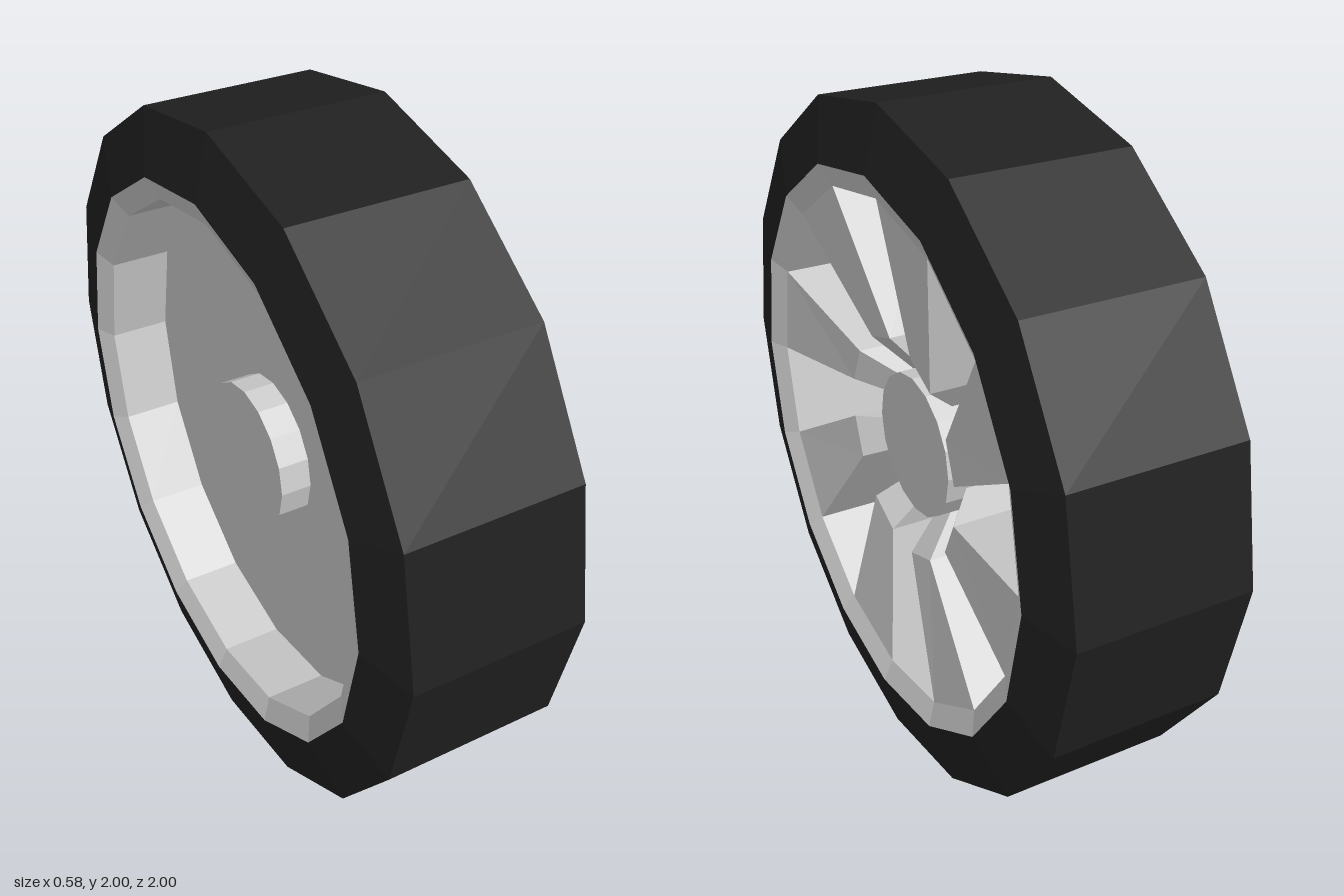
import * as THREE from 'three';

const SIDES = 16;
const FLOOR = -0.07;
const grey = new THREE.MeshStandardMaterial({ color: 0xcccccc, flatShading: true });
const rubber = new THREE.MeshStandardMaterial({ color: 0x202020, flatShading: true });

// Revolves [radius, x] points around the wheel's x axis
function turned(name, points, material) {
  const profile = points.map(([r, x]) => new THREE.Vector2(r, x));
  const geometry = new THREE.LatheGeometry(profile, SIDES).rotateZ(-Math.PI / 2);
  const mesh = new THREE.Mesh(geometry, material);
  mesh.name = name;
  return mesh;
}

// Twisted spoke from cross-sections: radius, face x, start angle in degrees
function spokeGeometry() {
  const width = 22.5;
  const sections = [[0.755, 0.26, 22.5], [0.33, 0.21, 9.5], [0.2, 0.1, 9.5]];
  const rings = sections.map(([r, x, start]) => {
    const at = (px, degrees) => {
      const a = THREE.MathUtils.degToRad(degrees);
      return [px, r * Math.sin(a), -r * Math.cos(a)];
    };
    const end = start + width;
    return [at(FLOOR, start), at(x, start), at(x, end), at(FLOOR, end)];
  });
  const positions = [];
  for (let i = 0; i < rings.length - 1; i++) {
    const outer = rings[i], inner = rings[i + 1];
    for (let j = 0; j < 3; j++) {
      const [a, b, c, d] = [outer[j], outer[j + 1], inner[j + 1], inner[j]];
      positions.push(...a, ...b, ...c, ...a, ...c, ...d);
    }
  }
  const geometry = new THREE.BufferGeometry();
  geometry.setAttribute('position', new THREE.Float32BufferAttribute(positions, 3));
  geometry.computeVertexNormals();
  return geometry;
}

export function createModel() {
  const wheel = new THREE.Group();
  wheel.name = 'wheel';

  // Tyre with chamfered sidewalls
  wheel.add(turned('tyre', [[0.82, -0.29], [1, -0.25], [1, 0.25], [0.82, 0.29]], rubber));

  // Rim lips, barrel and central plate, outer and inner side
  wheel.add(turned('outerRim', [[0.82, 0.29], [0.755, 0.26], [0.755, FLOOR], [0, FLOOR]], grey));
  wheel.add(turned('innerRim', [[0, -0.08], [0.755, -0.08], [0.755, -0.26], [0.82, -0.29]], grey));

  // Hub passing through the plate
  wheel.add(turned('hub', [[0, -0.17], [0.215, -0.17], [0.215, 0.17], [0, 0.17]], grey));

  // Eight twisted spokes
  const geometry = spokeGeometry();
  for (let i = 0; i < 8; i++) {
    const spoke = new THREE.Mesh(geometry, grey);
    spoke.name = 'spoke';
    spoke.rotation.x = (i * Math.PI) / 4;
    wheel.add(spoke);
  }

  wheel.position.y = 1;
  const model = new THREE.Group();
  model.add(wheel);
  return model;
}
